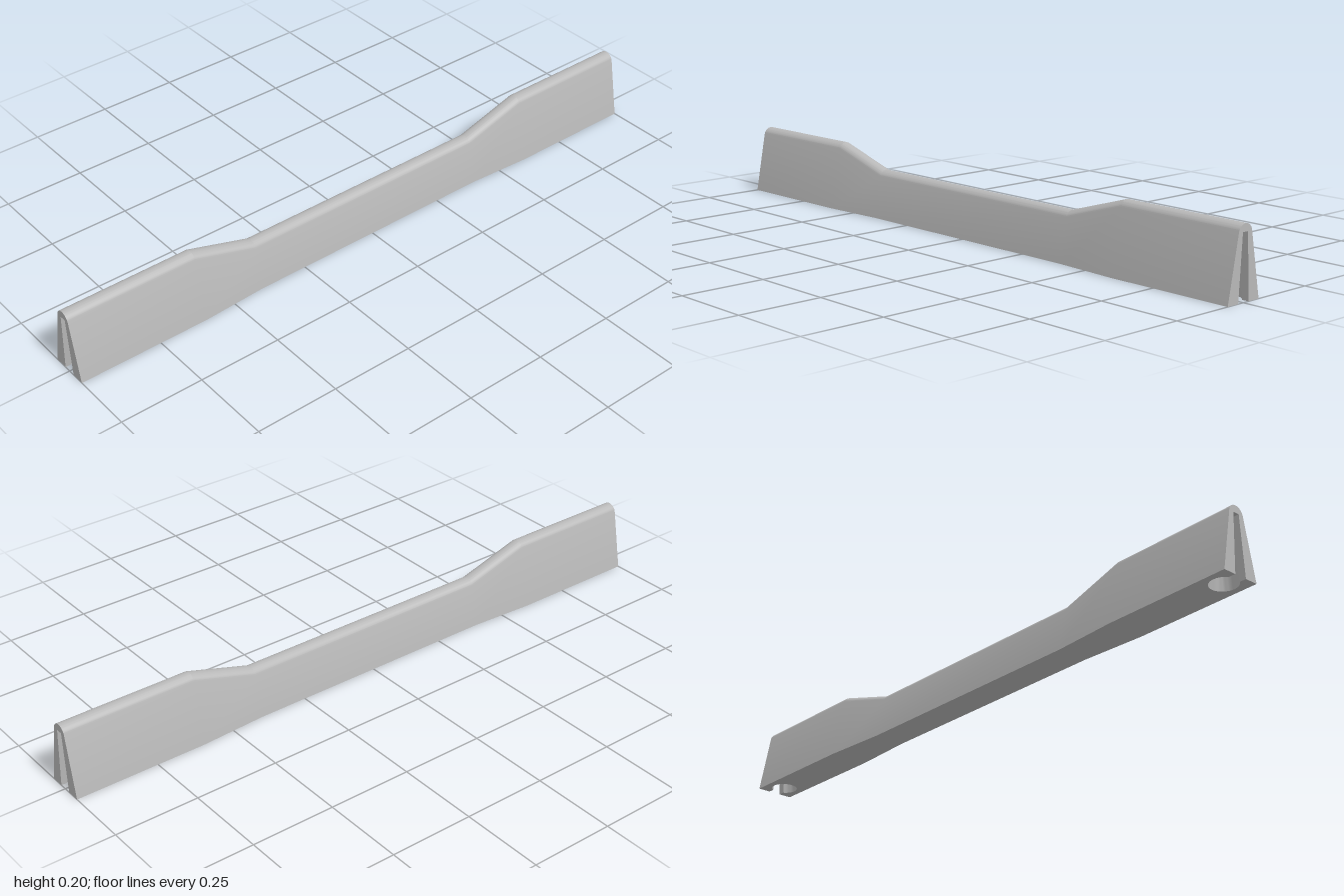
import * as THREE from 'three';
import { toCreasedNormals } from 'three/addons/utils/BufferGeometryUtils.js';

const ARC_Y = 0.178, ARC_R = 0.026;       // rounded crest at full height
const SLOPE = Math.atan(0.19);            // lean of the side walls
const DROP = 0.06;                        // how far the middle is lowered
const SLOT_TOP = 0.182, HOLE_Z = 0.945;

// Half width of the base for a crest lowered by d
const baseHalf = d => ARC_R * Math.cos(SLOPE) + (ARC_Y - d + ARC_R * Math.sin(SLOPE)) * Math.tan(SLOPE);

// Arch outline from the left foot over the crest to the right foot
function arch(d) {
  const pts = [[baseHalf(d), 0]], n = 20;
  for (let i = 0; i <= n; i++) {
    const a = SLOPE + (Math.PI - 2 * SLOPE) * i / n;
    pts.push([ARC_R * Math.cos(a), ARC_Y - d + ARC_R * Math.sin(a)]);
  }
  pts.push([-baseHalf(d), 0]);
  return pts;
}

// Keyhole outline in plan: slot wall, round hole, other slot wall
function keyhole(s, r) {
  const pts = [[s, 1]], a0 = Math.asin(s / r), n = 32;
  for (let i = 0; i <= n; i++) {
    const a = a0 + (2 * Math.PI - 2 * a0) * i / n;
    pts.push([r * Math.sin(a), HOLE_Z + r * Math.cos(a)]);
  }
  pts.push([-s, 1]);
  return pts;
}

// Skin a list of equal-length cross-sections
function loft(rows, crease) {
  const n = rows[0].length, index = [];
  for (let j = 0; j < rows.length - 1; j++) {
    for (let i = 0; i < n - 1; i++) {
      const a = j * n + i, b = a + 1, c = a + n, d = c + 1;
      index.push(a, b, c, b, d, c);
    }
  }
  const g = new THREE.BufferGeometry();
  g.setAttribute('position', new THREE.Float32BufferAttribute(rows.flat(2), 3));
  g.setIndex(index);
  return toCreasedNormals(g, crease);
}

const flat = pts => new THREE.ShapeGeometry(new THREE.Shape(pts.map(p => new THREE.Vector2(p[0], p[1]))));

export function createModel() {
  const concrete = new THREE.MeshStandardMaterial({ color: 0xb8b8b8 });
  concrete.name = 'concrete grey';
  const group = new THREE.Group();
  group.name = 'barrier';
  const add = (parent, name, geometry) => {
    const mesh = new THREE.Mesh(geometry, concrete);
    mesh.name = name;
    parent.add(mesh);
    return mesh;
  };

  // Outer walls and crest, lower in the middle
  const stations = [[-1, 0], [-0.6, 0], [-0.4, DROP], [0.4, DROP], [0.6, 0], [1, 0]];
  add(group, 'wallsAndCrest', loft(stations.map(([z, d]) => arch(d).map(([x, y]) => [x, y, z])), 0.25));

  // Underside with a keyhole notch at each end
  const low = keyhole(0.02, 0.04), w = baseHalf(0), m = baseHalf(DROP);
  const half = [[w, 0.6], [w, 1], ...low, [-w, 1], [-w, 0.6], [-m, 0.4]];
  const outline = [[m, 0.4], ...half, ...[[m, 0.4], ...half].map(([x, z]) => [-x, -z])];
  add(group, 'underside', flat(outline).rotateX(Math.PI / 2));

  // Ends: slotted face plus the tapering keyhole socket
  const high = keyhole(0.01, 0.02);
  for (const turn of [0, Math.PI]) {
    const end = new THREE.Group();
    end.name = turn ? 'backEnd' : 'frontEnd';
    end.rotation.y = turn;
    add(end, 'endFace', flat([...arch(0), [-0.02, 0], [-0.01, SLOT_TOP], [0.01, SLOT_TOP], [0.02, 0]]).translate(0, 0, 1));
    const at = (pts, y) => pts.map(([x, z]) => [x, y, z]);
    add(end, 'socketWall', loft([at(high, SLOT_TOP), at(low, 0)], 0.5));
    add(end, 'socketCeiling', flat(high).rotateX(Math.PI / 2).translate(0, SLOT_TOP, 0));
    group.add(end);
  }
  return group;
}
